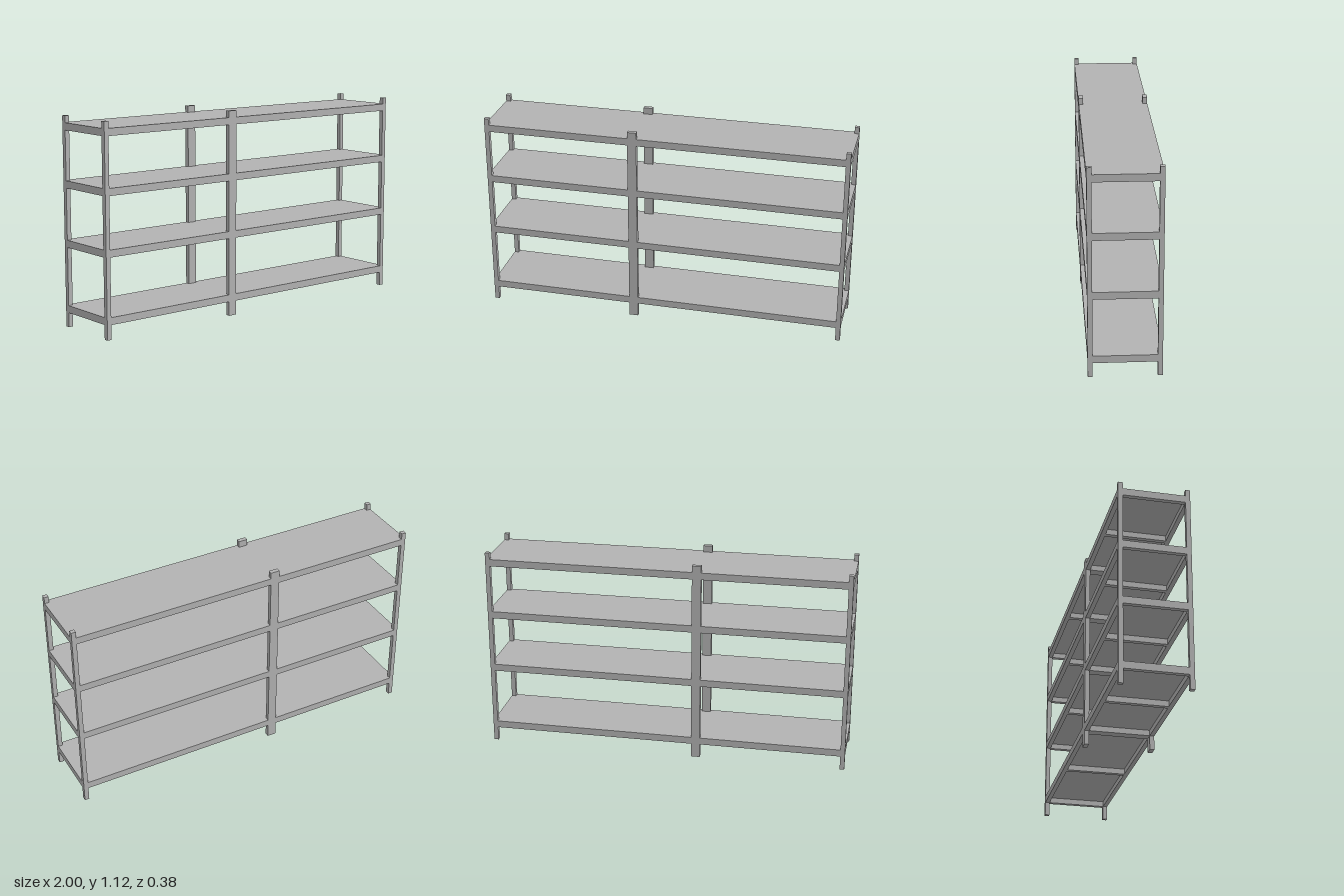
import * as THREE from 'three';

export function createModel() {
  const root = new THREE.Group();
  root.name = 'shelvingUnit';
  const grey = new THREE.MeshStandardMaterial({ color: 0xb2b2b2 });
  grey.name = 'grey metal';

  // Box given by its minimum and maximum corners
  function box(name, parent, [x0, y0, z0], [x1, y1, z1]) {
    const mesh = new THREE.Mesh(new THREE.BoxGeometry(x1 - x0, y1 - y0, z1 - z0), grey);
    mesh.position.set((x0 + x1) / 2, (y0 + y1) / 2, (z0 + z1) / 2);
    mesh.name = name;
    parent.add(mesh);
  }

  const H = 1.122, D = 0.19, T = 0.025; // height, half depth, bar thickness
  const MID = -0.17;                    // joint between the short and long bay
  const BEAM = 0.039, BOARD = 0.008;

  // Uprights: corner posts and double-width posts at the joint
  const posts = [[-1, -1 + T], [MID - T, MID + T], [1 - T, 1]];
  for (const [x0, x1] of posts) {
    box('frontPost', root, [x0, 0, D - T], [x1, H, D]);
    box('backPost', root, [x0, 0, -D], [x1, H, -D + T]);
  }

  // Shelves: board on top of beams and cross ribs
  const bays = [[-1 + T, MID - T], [MID + T, 1 - T]];
  for (const top of [0.117, 0.468, 0.783, 1.086]) {
    const shelf = new THREE.Group();
    shelf.name = 'shelf';
    root.add(shelf);
    const low = top - BEAM, under = top - BOARD;

    // Board: central strip plus edge strips between the posts
    box('board', shelf, [-1, under, -D + T], [1, top, D - T]);
    for (const [x0, x1] of bays) {
      box('frontBeam', shelf, [x0, low, D - T], [x1, top, D]);
      box('backBeam', shelf, [x0, low, -D], [x1, top, -D + T]);
      const c = (x0 + x1) / 2;
      box('middleRib', shelf, [c - T / 2, low, -D + T], [c + T / 2, under, D - T]);
    }

    // Ribs joining each front and back post
    for (const [x0, x1] of posts) {
      box('postRib', shelf, [x0, low, -D + T], [x1, under, D - T]);
    }
  }
  return root;
}
